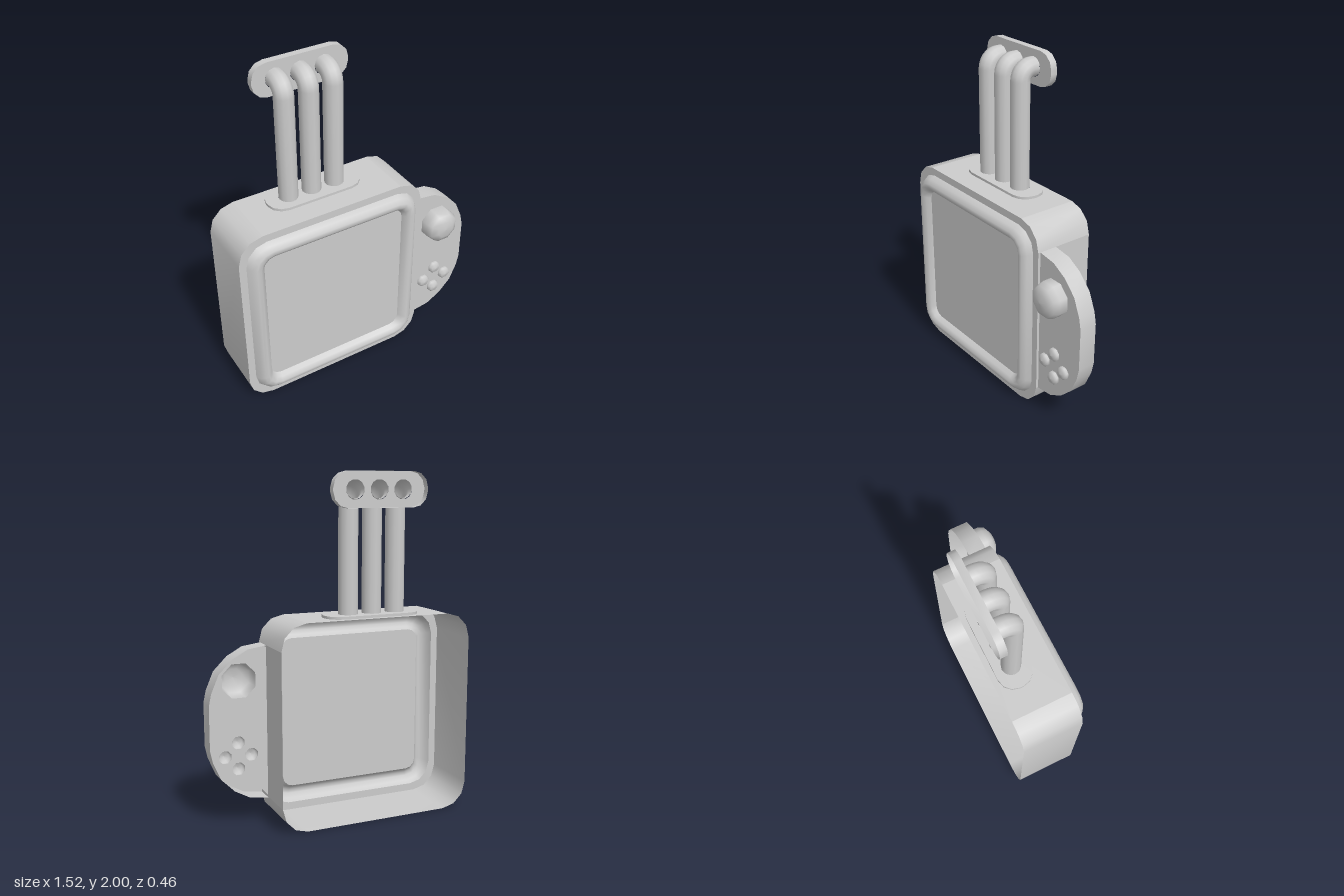
import * as THREE from 'three';
import { toCreasedNormals } from 'three/addons/utils/BufferGeometryUtils.js';

const material = new THREE.MeshStandardMaterial({ color: 0xcccccc, side: THREE.DoubleSide });
const V = (x, y) => new THREE.Vector2(x, y);

// Counter-clockwise outlines: point 0 sits at the lower end of the upper right corner
function roundedRect(hw, hh, r, cx = 0, cy = 0, n = 3) {
  const pts = [];
  for (let c = 0; c < 4; c++) {
    const sx = c === 0 || c === 3 ? 1 : -1, sy = c < 2 ? 1 : -1;
    for (let i = 0; i <= n; i++) {
      const a = (c + i / n) * Math.PI / 2;
      pts.push(V(cx + sx * (hw - r) + r * Math.cos(a), cy + sy * (hh - r) + r * Math.sin(a)));
    }
  }
  return pts;
}
function ngon(x, y, r, n) {
  return Array.from({ length: n }, (_, i) => {
    const a = (i + 0.5) / n * Math.PI * 2;
    return V(x + r * Math.cos(a), y + r * Math.sin(a));
  });
}

// Flat face with holes
function sheet(outline, holes = []) {
  const shape = new THREE.Shape(outline);
  holes.forEach(h => shape.holes.push(new THREE.Path(h)));
  return new THREE.ShapeGeometry(shape);
}

// Skin between outlines at successive depths, leaving out the skipped sides
function loft(rings, depths, skip = []) {
  const pos = [], idx = [], n = rings[0].length;
  rings.forEach((ring, k) => ring.forEach(p => pos.push(p.x, p.y, depths[k])));
  for (let k = 0; k < rings.length - 1; k++) {
    for (let i = 0; i < n; i++) {
      if (skip.includes(i)) continue;
      const a = k * n + i, b = k * n + (i + 1) % n;
      idx.push(a, b, a + n, b, b + n, a + n);
    }
  }
  const g = new THREE.BufferGeometry();
  g.setAttribute('position', new THREE.Float32BufferAttribute(pos, 3));
  g.setIndex(idx);
  return toCreasedNormals(g, 0.75);
}

function add(parent, name, geometry) {
  const mesh = new THREE.Mesh(geometry, material);
  mesh.name = name;
  parent.add(mesh);
  return mesh;
}

const CX = -0.17, CY = 0.595, FRONT = 0.135, BACK = -0.228;
const PIPE_Z = -0.095, PIPE_R = 0.056, PIPE_X = [-0.33, -0.183, -0.036];

// Open-backed case with openings for the pipe flange and the side panel
function makeCase() {
  const g = new THREE.Group();
  g.name = 'case';
  const outer = roundedRect(0.59, 0.595, 0.15, CX, CY);
  add(g, 'caseWalls', loft([outer, outer], [BACK, FRONT], [3, 15]));

  const top = sheet(
    [V(-0.61, -FRONT), V(0.27, -FRONT), V(0.27, -BACK), V(-0.61, -BACK)],
    [roundedRect(0.29, 0.1, 0.09, -0.175, -PIPE_Z)]);
  add(g, 'caseTop', top.rotateX(-Math.PI / 2)).position.y = 1.19;

  const side = sheet(
    [V(-FRONT, 0.15), V(-BACK, 0.15), V(-BACK, 1.04), V(-FRONT, 1.04)],
    [[V(-0.12, 0.16), V(-0.015, 0.16), V(-0.015, 1.03), V(-0.12, 1.03)]]);
  add(g, 'caseSide', side.rotateY(Math.PI / 2)).position.x = 0.42;

  // Rounded bezel swept inwards to the screen
  const profile = [[0, FRONT], [0.016, 0.165], [0.04, 0.186], [0.062, 0.188], [0.084, 0.172], [0.1, 0.145]];
  const rings = profile.map(([d]) => roundedRect(0.547 - d, 0.55 - d, 0.13 - d * 0.7, CX, CY));
  add(g, 'caseFront', sheet(outer, [rings[0]])).position.z = FRONT;
  add(g, 'bezel', loft(rings, profile.map(p => p[1])));
  add(g, 'screen', sheet(rings[rings.length - 1])).position.z = 0.145;
  return g;
}

// Hollow side panel with a knob and four buttons
function makeSidePanel() {
  const g = new THREE.Group();
  g.name = 'sidePanel';
  const upper = [V(0.76, 0.72), V(0.745, 0.79), V(0.70, 0.895), V(0.62, 0.975), V(0.53, 1.025), V(0.42, 1.04)];
  const lower = upper.map(p => V(p.x, 1.185 - p.y)).reverse();
  const outline = [...lower, ...upper];
  const controls = [
    ['knob', 0.55, 0.825, 0.108, [[1, 0], [1, 0.05], [0.86, 0.085], [0.5, 0.105], [0, 0.109]]],
    ...[[0.56, 0.46], [0.56, 0.303], [0.48, 0.381], [0.64, 0.381]].map(([x, y]) =>
      ['button', x, y, 0.04, [[1, 0], [1, 0.014], [0.7, 0.026], [0, 0.031]]])
  ];
  add(g, 'panelFace', sheet(outline, controls.map(([, x, y, r]) => ngon(x, y, r, 8)))).position.z = 0.12;
  add(g, 'panelRim', loft([outline, outline], [0.012, 0.12], [outline.length - 1]));
  controls.forEach(([name, x, y, r, profile]) => {
    const dome = new THREE.LatheGeometry(profile.map(([f, h]) => V(f * r, h)), 8, Math.PI / 8);
    add(g, name, dome.rotateX(Math.PI / 2)).position.set(x, y, 0.12);
  });
  return g;
}

// Hollow mounting flange pierced by the three pipes
function makeFlange(name, depth) {
  const g = new THREE.Group();
  g.name = name;
  const outline = roundedRect(0.29, 0.1, 0.09);
  add(g, 'flangeFace', sheet(outline, PIPE_X.map(x => ngon(x + 0.175, 0, PIPE_R, 12))));
  add(g, 'flangeRim', loft([outline, outline], [-depth, 0]));
  return g;
}

// Upright pipe with a tight bend to the back
function makePipe(x) {
  const p = (y, z) => new THREE.Vector3(x, y, z);
  const path = new THREE.CurvePath();
  const bend = 0.065, k = bend * 0.448, y = 1.904;
  path.add(new THREE.LineCurve3(p(1.203, PIPE_Z), p(y - bend, PIPE_Z)));
  path.add(new THREE.CubicBezierCurve3(p(y - bend, PIPE_Z), p(y - k, PIPE_Z), p(y, PIPE_Z - k), p(y, PIPE_Z - bend)));
  path.add(new THREE.LineCurve3(p(y, PIPE_Z - bend), p(y, -0.186)));
  return new THREE.TubeGeometry(path, 48, PIPE_R, 12);
}

export function createModel() {
  const model = new THREE.Group();
  model.name = 'handheldDeviceWithPipes';
  model.add(makeCase(), makeSidePanel());

  const lower = makeFlange('lowerFlange', 0.016);
  lower.rotation.x = -Math.PI / 2;
  lower.position.set(-0.175, 1.205, PIPE_Z);
  const upper = makeFlange('upperFlange', 0.042);
  upper.position.set(-0.175, 1.9, -0.186);
  model.add(lower, upper);

  PIPE_X.forEach(x => add(model, 'pipe', makePipe(x)));
  return model;
}
